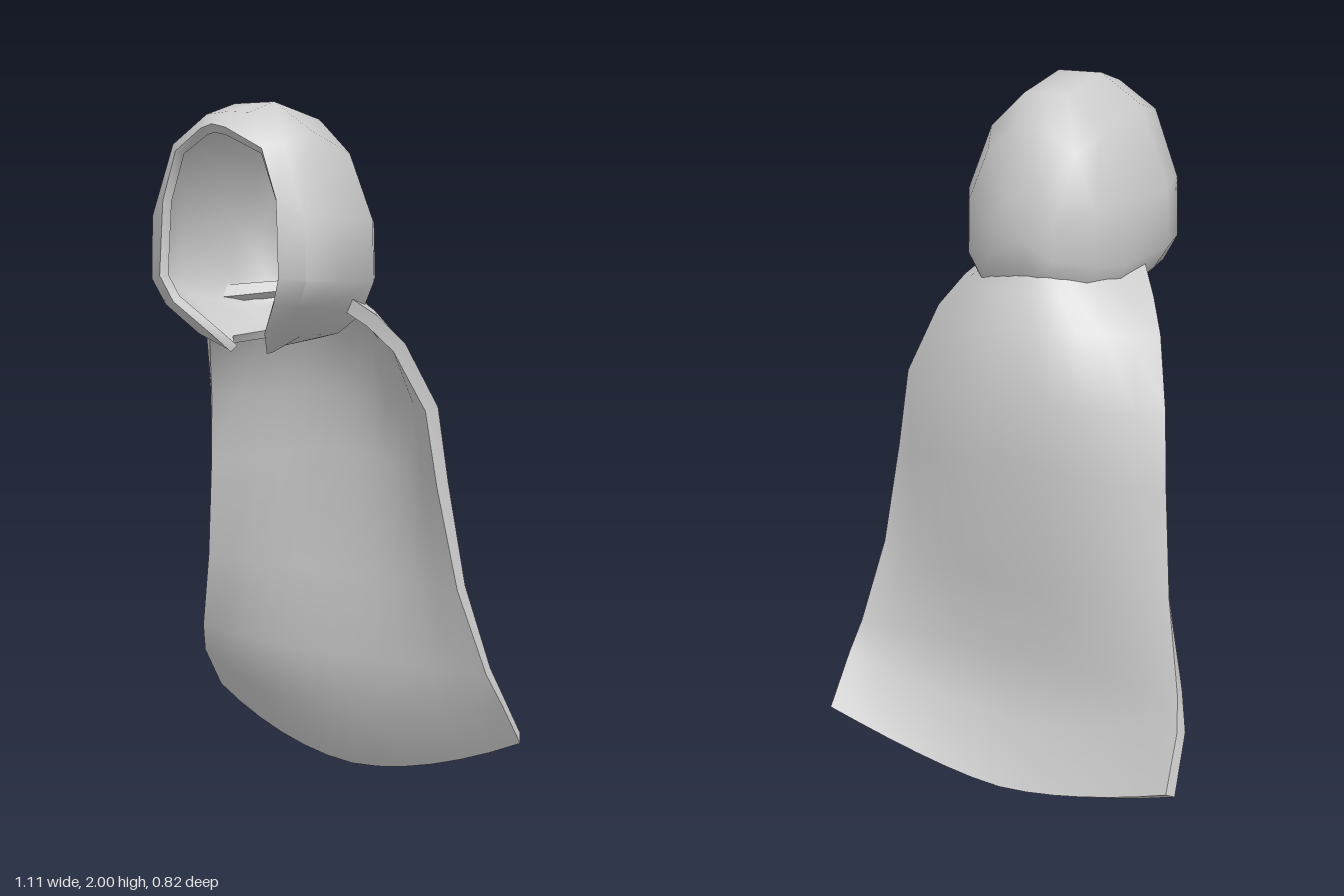
import * as THREE from 'three';
import { toCreasedNormals } from 'three/addons/utils/BufferGeometryUtils.js';

// Turns a grid of outer points into a cloth shell of the given thickness
function shell(grid, thickness) {
  const rows = grid.length, cols = grid[0].length, n = rows * cols;
  const pos = grid.flat(2), index = [];
  const id = (r, c) => r * cols + c;
  for (let r = 0; r < rows - 1; r++) {
    for (let c = 0; c < cols - 1; c++) {
      const a = id(r, c), b = id(r, c + 1), d = id(r + 1, c), e = id(r + 1, c + 1);
      index.push(a, b, d, b, e, d);
    }
  }
  const outer = new THREE.BufferGeometry();
  outer.setAttribute('position', new THREE.Float32BufferAttribute(pos, 3));
  outer.setIndex(index);
  outer.computeVertexNormals();
  const normal = outer.attributes.normal.array;
  const all = pos.concat(pos.map((v, i) => v - normal[i] * thickness));

  // lining, then the hem that joins both layers
  const faces = [...index];
  for (let i = 0; i < index.length; i += 3) {
    faces.push(index[i] + n, index[i + 2] + n, index[i + 1] + n);
  }
  const loop = [];
  for (let c = 0; c < cols - 1; c++) loop.push(id(0, c));
  for (let r = 0; r < rows - 1; r++) loop.push(id(r, cols - 1));
  for (let c = cols - 1; c > 0; c--) loop.push(id(rows - 1, c));
  for (let r = rows - 1; r > 0; r--) loop.push(id(r, 0));
  loop.forEach((a, i) => {
    const b = loop[(i + 1) % loop.length];
    faces.push(b, a, a + n, b, a + n, b + n);
  });
  const geometry = new THREE.BufferGeometry();
  geometry.setAttribute('position', new THREE.Float32BufferAttribute(all, 3));
  geometry.setIndex(faces);
  return toCreasedNormals(geometry, 0.95);
}

// Hood: half arches [x, y, z] from throat to crown, front to back
function hoodGrid() {
  const at = (z, pts) => pts.map(([x, y]) => [x, y, z]);
  const arches = [
    [[.06, 1.33, .25], [.095, 1.39, .31], [.165, 1.47, .37], [.195, 1.54, .39],
      [.185, 1.74, .385], [.14, 1.87, .385], [.04, 1.925, .405], [0, 1.935, .41]],
    [[.075, 1.335, .24], [.14, 1.38, .29], [.22, 1.46, .335], [.255, 1.53, .35],
      [.25, 1.70, .35], [.18, 1.89, .345], [.07, 1.965, .34], [0, 1.97, .34]],
    at(.22, [[.085, 1.35], [.15, 1.38], [.235, 1.46], [.28, 1.53],
      [.272, 1.69], [.185, 1.92], [.065, 2], [0, 2]]),
    at(.0, [[.07, 1.36], [.13, 1.375], [.205, 1.43], [.245, 1.52],
      [.24, 1.69], [.165, 1.87], [.065, 1.965], [0, 1.97]]),
    at(-.09, [[0, 1.41], [.09, 1.42], [.155, 1.46], [.195, 1.53],
      [.19, 1.68], [.13, 1.82], [.05, 1.885], [0, 1.89]]),
    at(-.155, [[0, 1.51], [.04, 1.51], [.07, 1.52], [.095, 1.55],
      [.09, 1.63], [.06, 1.69], [.03, 1.71], [0, 1.715]]),
    at(-.162, Array(8).fill([0, 1.6])),
  ];
  return arches.map((half) => [
    ...half.map(([x, y, z]) => [-x, y, z]),
    ...half.slice(0, -1).reverse(),
  ]);
}

// Cape: each row is [edge x, edge y, edge z, centre y, centre z], top to hem
function capeGrid() {
  const rows = [
    [.23, 1.50, .12, 1.52, -.13],
    [.295, 1.43, .03, 1.46, -.18],
    [.345, 1.35, -.04, 1.37, -.24],
    [.40, 1.17, -.13, 1.18, -.285],
    [.42, .95, -.16, 1.0, -.29],
    [.455, .65, -.205, .62, -.262],
    [.51, .40, -.265, .38, -.235],
    [.53, .31, -.31, .19, -.26],
    [.54, .17, -.41, .015, -.36],
  ];
  const steps = 12;
  return rows.map(([xe, ye, ze, yc, zc]) =>
    Array.from({ length: steps + 1 }, (_, i) => {
      const u = (i / steps) * 2 - 1, k = Math.abs(u);
      return [
        xe * u,
        THREE.MathUtils.lerp(yc, ye, k ** 1.7),
        THREE.MathUtils.lerp(zc, ze, k ** 2.3),
      ];
    }));
}

export function createModel() {
  const cloth = new THREE.MeshStandardMaterial({ color: 0xcccccc, side: THREE.DoubleSide });
  const group = new THREE.Group();

  const hood = new THREE.Mesh(shell(hoodGrid(), .025), cloth);
  hood.name = 'hood';
  hood.position.x = .02;

  const cape = new THREE.Mesh(shell(capeGrid(), .04), cloth);
  cape.name = 'cape';

  group.add(hood, cape);
  return group;
}
